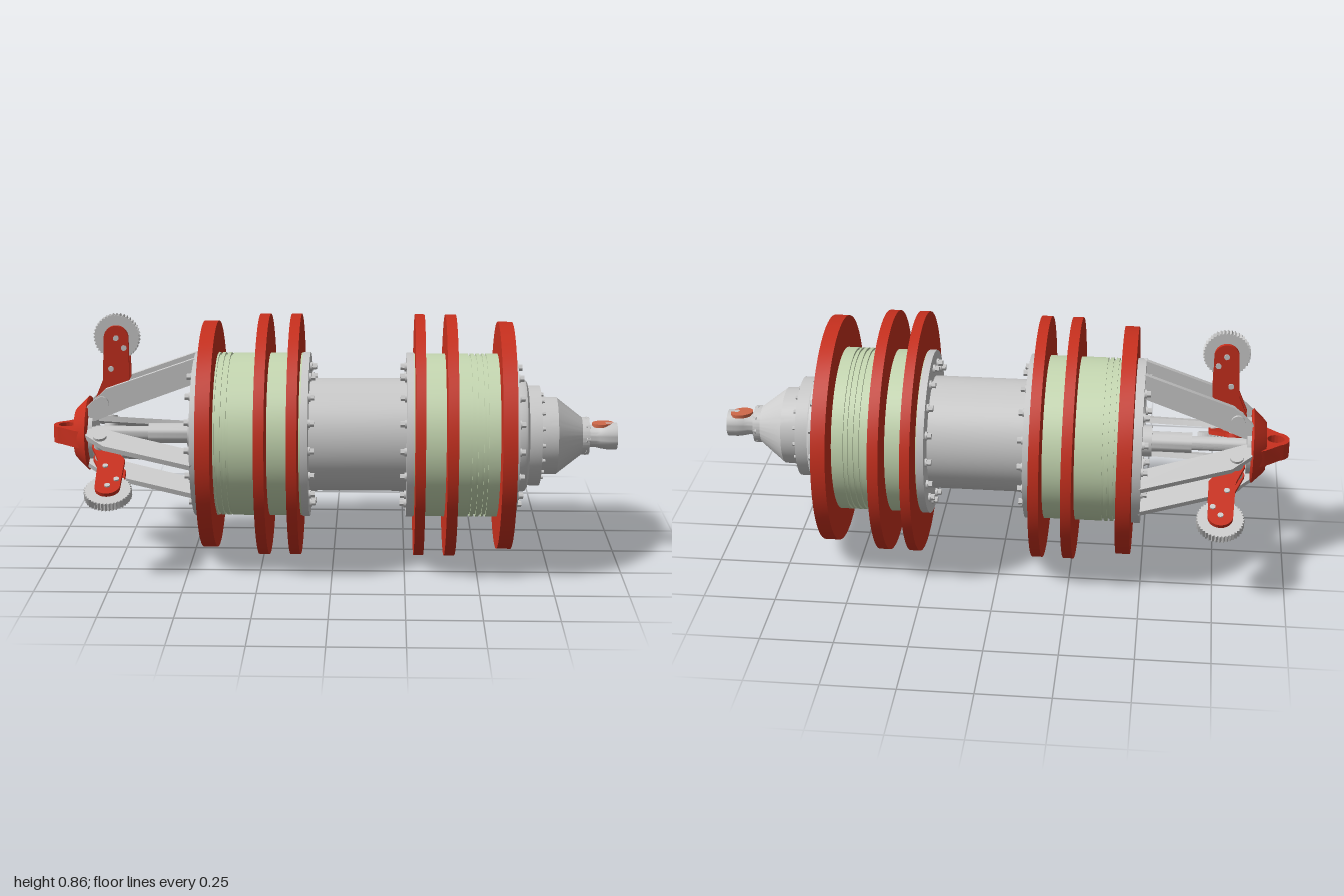
import * as THREE from 'three';
import { toCreasedNormals } from 'three/addons/utils/BufferGeometryUtils.js';

const mat = (color) => new THREE.MeshStandardMaterial({ color });
const grey = mat(0xcccccc), red = mat(0xc8301e), green = mat(0xc6d8b2), orange = mat(0xd0694a);

function add(parent, name, geometry, material, x = 0, y = 0, z = 0) {
  const mesh = new THREE.Mesh(geometry, material);
  mesh.name = name;
  mesh.position.set(x, y, z);
  parent.add(mesh);
  return mesh;
}

// Turned part about the x axis from [x, radius] pairs, x ascending
function turned(points, segments = 80) {
  const g = new THREE.LatheGeometry(points.map(([x, r]) => new THREE.Vector2(r, x)), segments);
  return toCreasedNormals(g.rotateZ(-Math.PI / 2), 0.5);
}
const disc = (x0, x1, r) => turned([[x0, 0], [x0, r], [x1, r], [x1, 0]]);
const ring = (x0, x1, r, inner) => turned([[x0, inner], [x0, r], [x1, r], [x1, inner], [x0, inner]]);

// Flat plate in the xy plane, centred on z = 0
function plate(shape, thickness) {
  const g = new THREE.ExtrudeGeometry(shape, { depth: thickness, bevelEnabled: false, curveSegments: 16 });
  return toCreasedNormals(g.translate(0, 0, -thickness / 2), 0.5);
}

// Circle of washers with hex heads, facing dir along x
function boltCircle(parent, name, x, radius, count, size, dir) {
  const group = new THREE.Group();
  group.name = name;
  const washer = new THREE.CylinderGeometry(size, size, size * 0.5, 16).rotateZ(Math.PI / 2);
  const head = new THREE.CylinderGeometry(size * 0.75, size * 0.75, size * 1.1, 6).toNonIndexed();
  head.rotateZ(Math.PI / 2).computeVertexNormals();
  for (let i = 0; i < count; i++) {
    const a = (i / count) * Math.PI * 2;
    const y = Math.cos(a) * radius, z = Math.sin(a) * radius;
    add(group, 'washer', washer, grey, x + dir * size * 0.25, y, z);
    add(group, 'boltHead', head, grey, x + dir * size * 0.9, y, z);
  }
  parent.add(group);
}

// Drum barrel with narrow grooves
function drumGeometry(x0, x1, grooves) {
  const p = [[x0, 0], [x0, 0.289]];
  for (const g of grooves) p.push([g - 0.004, 0.289], [g - 0.004, 0.281], [g + 0.004, 0.281], [g + 0.004, 0.289]);
  p.push([x1, 0.289], [x1, 0]);
  return turned(p);
}

// One spring-arm unit: radial direction is +y before it is turned about x
function wheelUnit(angle) {
  const unit = new THREE.Group();
  unit.name = 'wheelUnit';
  unit.rotation.x = angle;

  const strut = new THREE.Shape([
    [-0.455, 0.195], [-0.455, 0.275], [-0.49, 0.285], [-0.80, 0.175], [-0.87, 0.11],
    [-0.87, 0.055], [-0.84, 0.06], [-0.72, 0.11], [-0.49, 0.195],
  ].map(([x, y]) => new THREE.Vector2(x, y)));
  const strutGeo = plate(strut, 0.02);
  const pin = new THREE.CylinderGeometry(0.024, 0.024, 0.16, 20).rotateX(Math.PI / 2);
  for (const s of [-1, 1]) add(unit, 'strutPlate', strutGeo, grey, 0, 0, s * 0.06);
  add(unit, 'pivotPin', pin, grey, -0.815, 0.125);

  // bent red carrier cheeks on both sides of the wheel
  const cheek = new THREE.Shape();
  cheek.absarc(-0.765, 0.35, 0.043, 0, Math.PI, false);
  cheek.lineTo(-0.815, 0.2);
  cheek.absarc(-0.81, 0.125, 0.036, Math.PI, Math.PI * 2, false);
  cheek.lineTo(-0.722, 0.2);
  cheek.closePath();
  const cheekGeo = plate(cheek, 0.014);
  const stud = new THREE.CylinderGeometry(0.01, 0.01, 0.074, 12).rotateX(Math.PI / 2);
  for (const s of [-1, 1]) add(unit, 'wheelCarrier', cheekGeo, red, 0, 0, s * 0.025);
  for (const [x, y] of [[-0.765, 0.35], [-0.738, 0.315], [-0.785, 0.24]]) add(unit, 'carrierStud', stud, grey, x, y);

  // knurled wheel
  const tread = new THREE.Shape();
  const teeth = 40;
  for (let i = 0; i < teeth * 2; i++) {
    const a = (i / (teeth * 2)) * Math.PI * 2, r = i % 2 ? 0.076 : 0.082;
    if (i) tread.lineTo(Math.cos(a) * r, Math.sin(a) * r);
    else tread.moveTo(r, 0);
  }
  add(unit, 'wheel', plate(tread, 0.03), grey, -0.765, 0.35);
  return unit;
}

export function createModel() {
  const model = new THREE.Group();
  const body = new THREE.Group();
  body.name = 'body';
  body.position.y = 0.427;
  model.add(body);

  // central tube and the two drums
  add(body, 'centralTube', disc(-0.1, 0.27, 0.2), grey);
  add(body, 'rearDrum', drumGeometry(-0.43, -0.1, [-0.4, -0.38, -0.36]), green);
  add(body, 'frontDrum', drumGeometry(0.27, 0.63, [0.475, 0.495, 0.515, 0.53]), green);

  // flanges with their bolt circles
  add(body, 'rearOuterFlange', ring(-0.49, -0.41, 0.291, 0.2), grey);
  add(body, 'rearInnerFlange', disc(-0.11, -0.085, 0.291), grey);
  add(body, 'frontInnerFlange', disc(0.255, 0.28, 0.291), grey);
  add(body, 'frontOuterFlange', disc(0.615, 0.64, 0.291), grey);
  for (const [x, dir] of [[-0.49, -1], [-0.085, 1], [0.255, -1], [0.64, 1]]) {
    boltCircle(body, 'flangeBolts', x, 0.245, 16, 0.015, dir);
  }

  // red sealing discs: [start, end, radius]
  for (const [x0, x1, r] of [
    [-0.46, -0.41, 0.402], [-0.262, -0.226, 0.427], [-0.152, -0.116, 0.427],
    [0.283, 0.317, 0.427], [0.39, 0.427, 0.427], [0.575, 0.625, 0.402],
  ]) add(body, 'sealDisc', ring(x0, x1, r, 0.27), red);

  // stepped end cap and cone
  add(body, 'endCap', turned([
    [0.63, 0], [0.63, 0.2], [0.665, 0.2], [0.674, 0.197], [0.68, 0.188], [0.682, 0.177],
    [0.725, 0.177], [0.725, 0.138], [0.785, 0.136], [0.875, 0.066], [0.9, 0.066], [0.9, 0],
  ]), grey);
  boltCircle(body, 'capBolts', 0.725, 0.149, 16, 0.009, 1);
  boltCircle(body, 'coneBolts', 0.888, 0.061, 8, 0.009, 1);
  add(body, 'endShaft', turned([
    [0.89, 0], [0.89, 0.04], [0.925, 0.04], [0.94, 0.044], [0.965, 0.048], [1, 0.048], [1, 0],
  ], 40), grey);
  const inset = new THREE.CylinderGeometry(0.032, 0.032, 0.012, 28).scale(1.25, 1, 1);
  add(body, 'shaftInset', inset, orange, 0.95, 0.041, -0.005).rotation.y = 0.5;

  // tail: rod, red nose and lifting eye
  add(body, 'tailRod', turned([
    [-0.87, 0], [-0.87, 0.025], [-0.66, 0.025], [-0.66, 0.036], [-0.52, 0.036],
    [-0.52, 0.055], [-0.42, 0.055], [-0.42, 0],
  ], 32), grey);
  add(body, 'tailPlate', disc(-0.875, -0.85, 0.1), grey);
  add(body, 'tailNose', turned([[-0.918, 0], [-0.918, 0.085], [-0.905, 0.1], [-0.872, 0.132], [-0.865, 0.125], [-0.865, 0]], 48), red);
  const eye = new THREE.Shape();
  eye.moveTo(-0.89, 0.108);
  eye.lineTo(-0.915, 0.095);
  eye.absarc(-0.948, 0, 0.052, Math.PI * 0.62, Math.PI * 1.38, false);
  eye.lineTo(-0.915, -0.095);
  eye.lineTo(-0.89, -0.108);
  eye.closePath();
  const hole = new THREE.Path();
  hole.absarc(-0.952, 0, 0.03, 0, Math.PI * 2, true);
  eye.holes.push(hole);
  add(body, 'liftingEye', plate(eye, 0.06).rotateX(Math.PI / 2), red);

  // three sprung wheels: one on top, two slightly below the sides
  for (const degrees of [0, 112, -112]) body.add(wheelUnit(THREE.MathUtils.degToRad(degrees)));

  return model;
}
